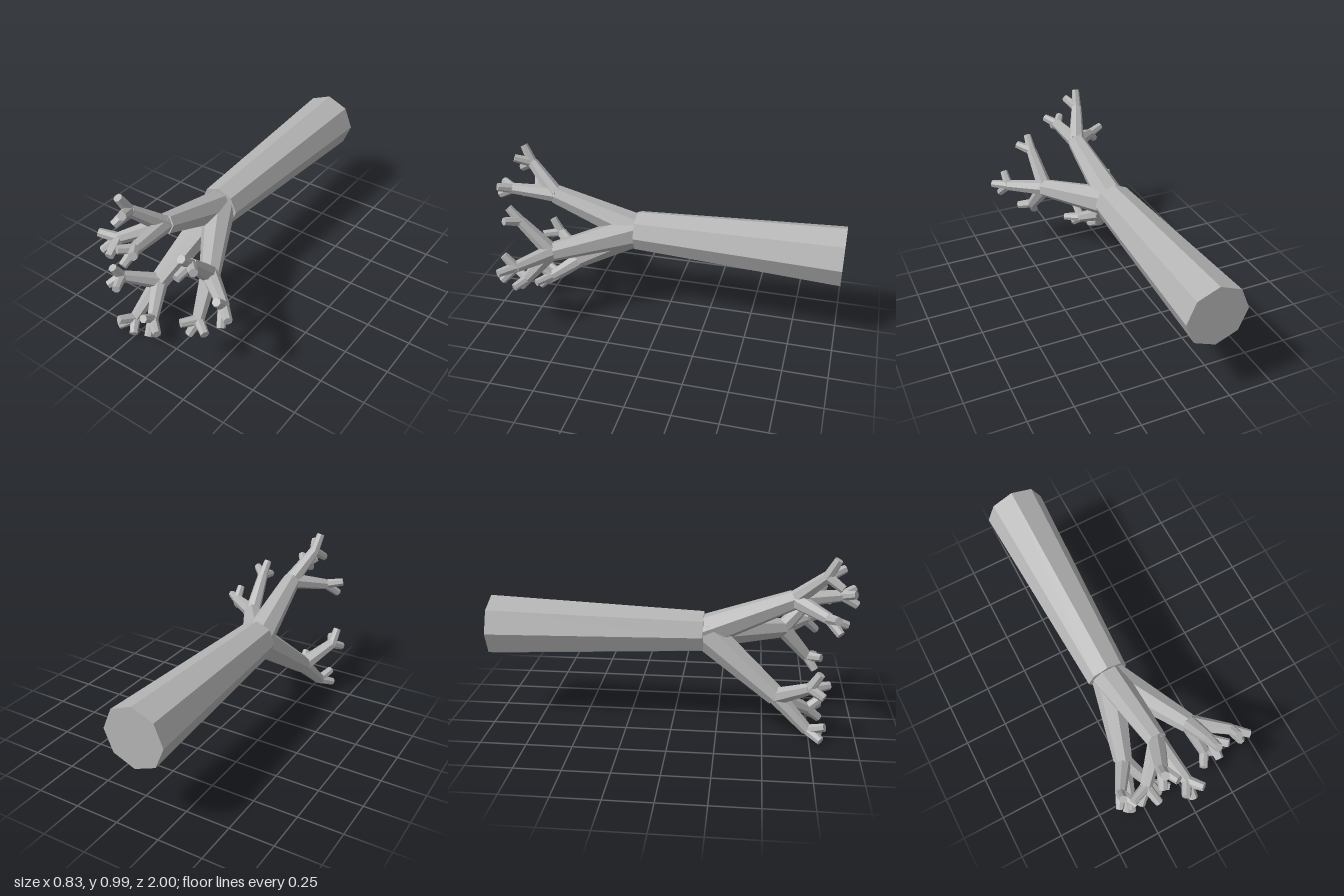
import * as THREE from 'three';

// Branch tree: each node has an end point and children; leaves are bare points
const branches = [
  { name: 'upper', end: [-0.105, 0.735, 0.65], kids: [
    { end: [-0.175, 0.885, 0.81], tips: [[-0.19, 0.98, 0.86], [-0.135, 0.92, 0.9], [-0.21, 0.83, 0.89]] },
    { end: [-0.26, 0.685, 0.82], tips: [[-0.355, 0.705, 0.86], [-0.32, 0.62, 0.88], [-0.235, 0.645, 0.92]] },
    { end: [-0.075, 0.755, 0.9], tips: [[-0.12, 0.775, 0.97], [-0.02, 0.78, 0.97], [-0.08, 0.705, 0.985]] },
  ] },
  { name: 'left', end: [0.13, 0.49, 0.6], kids: [
    { end: [0.15, 0.675, 0.765], tips: [[0.15, 0.75, 0.83], [0.22, 0.7, 0.83], [0.145, 0.655, 0.87]] },
    { end: [0.32, 0.48, 0.74], tips: [[0.325, 0.55, 0.8], [0.4, 0.475, 0.81], [0.355, 0.405, 0.81]] },
    { end: [0.165, 0.31, 0.75], tips: [[0.115, 0.32, 0.83], [0.245, 0.29, 0.8], [0.14, 0.235, 0.8]] },
  ] },
  { name: 'lower', end: [-0.25, 0.235, 0.57], kids: [
    { end: [-0.36, 0.335, 0.74], tips: [[-0.37, 0.42, 0.79], [-0.31, 0.335, 0.84], [-0.4, 0.3, 0.81]] },
    { end: [-0.165, 0.13, 0.74], tips: [[-0.155, 0.195, 0.82], [-0.075, 0.12, 0.81], [-0.14, 0.065, 0.81]] },
    { end: [-0.295, 0.065, 0.74], tips: [[-0.33, 0.1, 0.83], [-0.355, 0.03, 0.81], [-0.25, 0.025, 0.81]] },
  ] },
];

export function createModel() {
  const model = new THREE.Group();
  model.name = 'branchingTree';
  const bark = new THREE.MeshStandardMaterial({ color: 0xb4b4b4, flatShading: true });
  bark.name = 'greyBark';

  // Tapered faceted limb between two points
  function limb(name, from, to, r0, r1, sides, parent) {
    const a = new THREE.Vector3(...from);
    const b = new THREE.Vector3(...to);
    const dir = b.clone().sub(a);
    const mesh = new THREE.Mesh(new THREE.CylinderGeometry(r1, r0, dir.length(), sides), bark);
    mesh.position.copy(a).add(b).multiplyScalar(0.5);
    mesh.quaternion.setFromUnitVectors(new THREE.Vector3(0, 1, 0), dir.normalize());
    mesh.name = name;
    parent.add(mesh);
  }

  // Trunk lies along z, thick end at the back
  const fork = [-0.135, 0.55, 0.17];
  limb('trunk', [-0.135, 0.55, -1], fork, 0.17, 0.115, 8, model);

  // Three boughs, each with three branches, each with three twigs
  for (const bough of branches) {
    const group = new THREE.Group();
    group.name = bough.name + 'Bough';
    model.add(group);
    limb('bough', fork, bough.end, 0.092, 0.055, 7, group);
    for (const kid of bough.kids) {
      limb('branch', bough.end, kid.end, 0.048, 0.032, 7, group);
      for (const tip of kid.tips) limb('twig', kid.end, tip, 0.029, 0.023, 7, group);
    }
  }
  return model;
}
